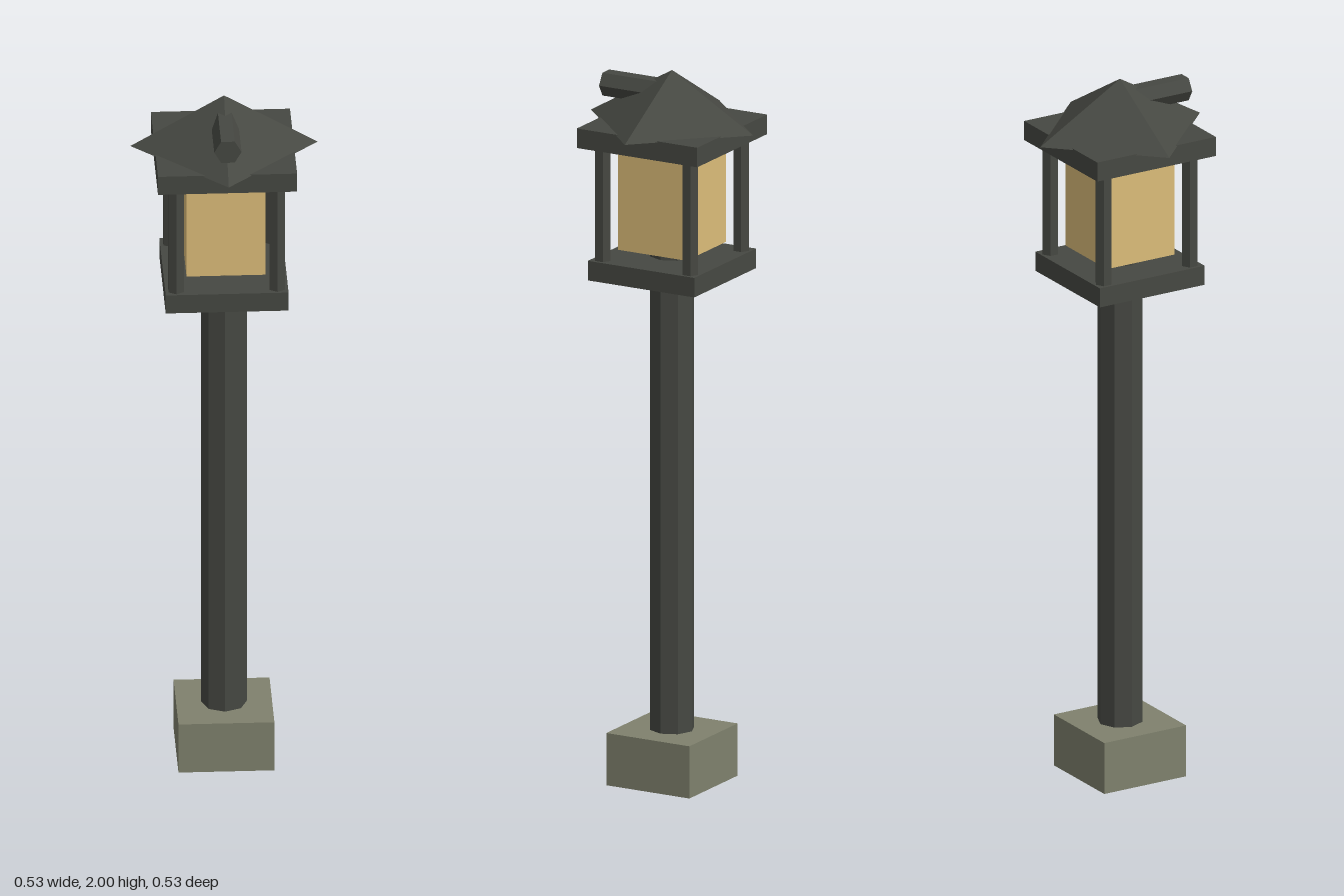
import * as THREE from 'three';

export function createModel() {
  const mat = (name, color) => {
    const m = new THREE.MeshStandardMaterial({ color, flatShading: true });
    m.name = name;
    return m;
  };
  const metal = mat('dark metal', 0x464842);
  const stone = mat('stone', 0x7f816d);
  const glass = mat('amber glass', 0xdcbd79);

  const model = new THREE.Group();
  model.name = 'lampPost';
  const lamp = new THREE.Group();
  lamp.name = 'lamp';
  lamp.rotation.y = THREE.MathUtils.degToRad(-42.2);
  model.add(lamp);

  const add = (name, geometry, material, x, y, z) => {
    const mesh = new THREE.Mesh(geometry, material);
    mesh.name = name;
    mesh.position.set(x, y, z);
    lamp.add(mesh);
    return mesh;
  };
  // Square block between two heights
  const block = (name, side, y0, y1, material) =>
    add(name, new THREE.BoxGeometry(side, y1 - y0, side), material, 0, (y0 + y1) / 2, 0);
  // Upright faceted bar between two heights
  const bar = (name, r, sides, y0, y1, x, z) =>
    add(name, new THREE.CylinderGeometry(r, r, y1 - y0, sides), metal, x, (y0 + y1) / 2, z);

  // Footing and pole
  block('footing', 0.26, 0, 0.147, stone);
  bar('pole', 0.062, 8, 0.1, 1.82, 0, 0);

  // Lantern cage with glowing core
  block('lanternFloor', 0.333, 1.425, 1.48, metal);
  block('lanternGlass', 0.214, 1.505, 1.78, glass);
  block('lanternCeiling', 0.377, 1.8, 1.855, metal);
  for (const sx of [-1, 1]) {
    for (const sz of [-1, 1]) {
      bar('cornerPost', 0.024, 6, 1.47, 1.81, sx * 0.137, sz * 0.137);
    }
  }

  // Pyramid roof, set diagonally to the ceiling
  add('roof', new THREE.ConeGeometry(0.254, 0.148, 4), metal, 0, 1.926, 0);

  // Six-sided stub sticking out of one roof ridge
  const stub = new THREE.CylinderGeometry(0.037, 0.037, 0.177, 6);
  stub.rotateY(Math.PI / 6).rotateX(Math.PI / 2);
  add('roofStub', stub, metal, 0, 1.935, 0.1185);

  return model;
}
